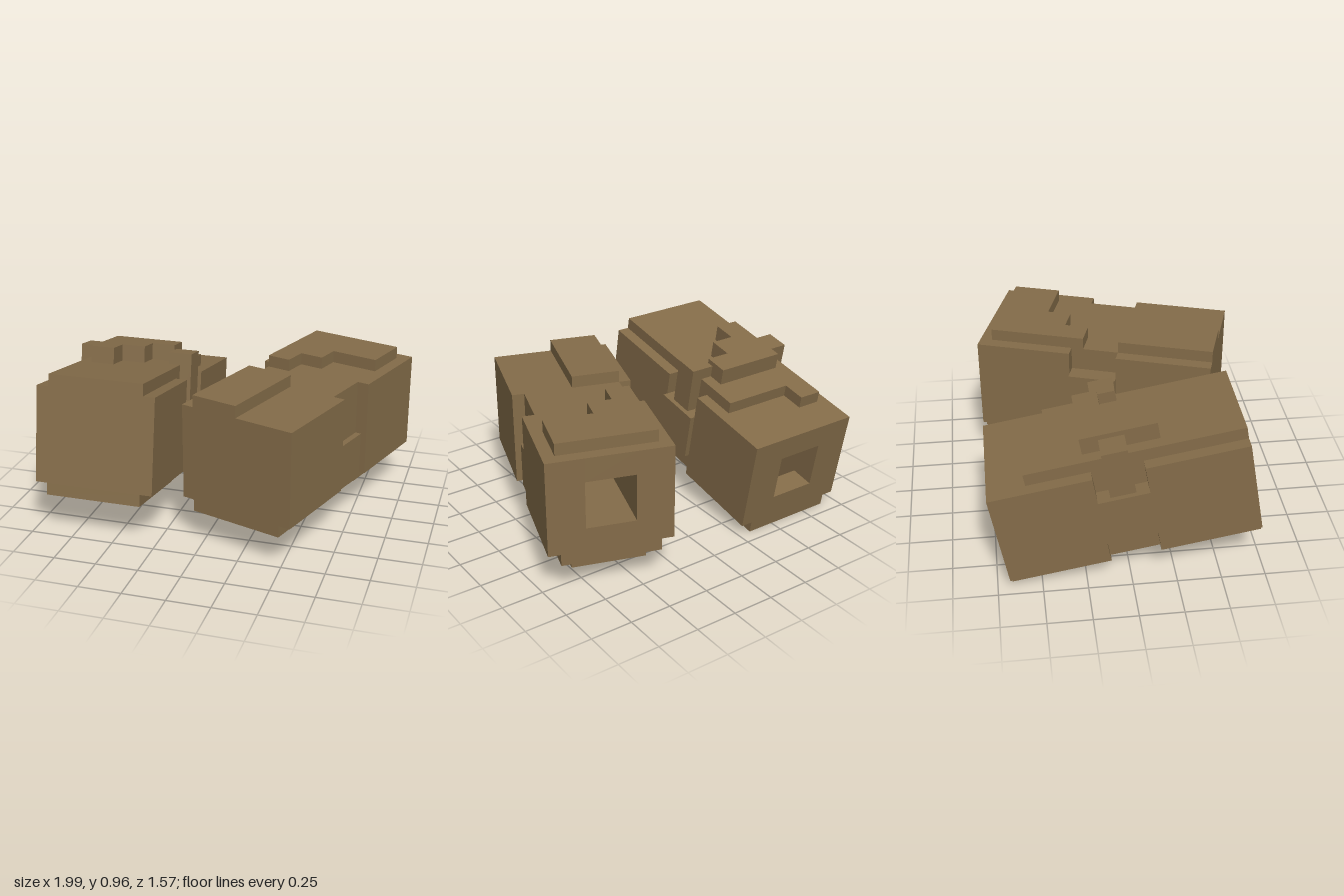
import * as THREE from 'three';

const U = 0.071; // one block unit
const shell = new THREE.MeshStandardMaterial({ color: 0x846c49 });
shell.name = 'shell brown';

// Box from its limits, in block units
function box(parent, name, x0, x1, y0, y1, z0, z1) {
  const g = new THREE.BoxGeometry((x1 - x0) * U, (y1 - y0) * U, (z1 - z0) * U);
  g.translate((x0 + x1) / 2 * U, (y0 + y1) / 2 * U, (z0 + z1) / 2 * U);
  const m = new THREE.Mesh(g, shell);
  m.name = name;
  parent.add(m);
}

// Flat plate with a stepped outline given as x,z corners
function plate(parent, name, pts, y0, y1) {
  const s = new THREE.Shape(pts.map(([x, z]) => new THREE.Vector2(x * U, -z * U)));
  const g = new THREE.ExtrudeGeometry(s, { depth: (y1 - y0) * U, bevelEnabled: false });
  g.rotateX(-Math.PI / 2).translate(0, y0 * U, 0);
  const m = new THREE.Mesh(g, shell);
  m.name = name;
  parent.add(m);
}

// Roof and side walls around the square tunnel in the back half
function tunnelWalls(parent) {
  box(parent, 'backRoof', -2, 2, 2, 4, -10, -2);
  box(parent, 'backRightWall', -5, -2, -4, 4, -10, -2);
  box(parent, 'backLeftWall', 2, 5, -4, 4, -10, -2);
}

function turnedShell() {
  const p = new THREE.Group();
  p.name = 'turnedShell';
  // Front half
  box(p, 'frontHalf', -5, 5, -4, 4, 2, 10);
  box(p, 'frontTopPlate', -4, 0, 4, 5, 2, 10);
  box(p, 'frontBottomPlate', -4, 4, -5, -4, 2, 10);
  // Back half with its open tunnel
  tunnelWalls(p);
  box(p, 'backFloor', -2, 2, -4, -2, -10, -2);
  plate(p, 'backTopPlate', [[-4, -9], [-4, -1], [-2, -1], [-2, -3], [0, -3], [0, -5], [4, -5], [4, -9]], 4, 5);
  box(p, 'backBottomPlate', -4, 4, -5, -4, -10, -2);
  box(p, 'backFootPlate', -3, 3, -6, -5, -9, -3);
  // Waist
  box(p, 'waistUpper', -4, 4, -0.5, 4, -2, 2);
  box(p, 'waistLower', -4, 4.5, -4.4, -0.5, -2, 2);
  box(p, 'waistBump', -5.4, -4, -2, 2, -2, 2);
  p.position.set(0.435, 0.55, 0);
  p.rotation.y = -Math.PI / 10;
  return p;
}

function tiltedShell() {
  const p = new THREE.Group();
  p.name = 'tiltedShell';
  // Front half, a cross in section
  box(p, 'frontHalf', -5, 5, -4, 4, 2, 10);
  box(p, 'frontTopPlate', -4, 4, 4, 5, 2, 10);
  box(p, 'frontBottomPlate', -4, 4, -5, -4, 2, 10);
  // Back half with a tunnel and a stepped opening in its floor
  tunnelWalls(p);
  for (const s of [-1, 1]) {
    box(p, 'backBottomPlate', s < 0 ? -4 : 2, s < 0 ? -2 : 4, -5, -4, -10, -2);
  }
  box(p, 'floorRight', -2, 0, -5, -2, -10, -8);
  box(p, 'floorLeft', 0, 2, -5, -2, -10, -6);
  box(p, 'floorFront', -2, 0, -5, -2, -4, -2);
  plate(p, 'backTopPlate', [[-4, -7], [-4, -2], [4, -2], [4, -5], [-2, -5], [-2, -7]], 4, 5);
  // Waist with side bumps and hooked prongs
  box(p, 'waist', -4, 4, -4.4, 5, -2, 2);
  for (const s of [-1, 1]) {
    const side = (name, a, b, ...r) => box(p, name, Math.min(s * a, s * b), Math.max(s * a, s * b), ...r);
    side('waistBump', 4, 5.4, -2, 2, -2, 2);
    side('prongTop', 3, 5, 5, 6, -1, 1);
    side('prongSide', 4, 5, 2, 5, -1, 1);
  }
  // Stepped saddle on top
  plate(p, 'saddle', [[-3, -2.4], [-3, 3.6], [-1, 3.6], [-1, 1.6], [1, 1.6], [1, -0.4], [3, -0.4], [3, -2.4]], 5, 6.4);
  p.position.set(-0.615, 0.475, -0.03);
  p.rotation.x = -Math.PI / 18;
  return p;
}

export function createModel() {
  const model = new THREE.Group();
  model.name = 'blockShells';
  model.add(turnedShell(), tiltedShell());
  return model;
}
